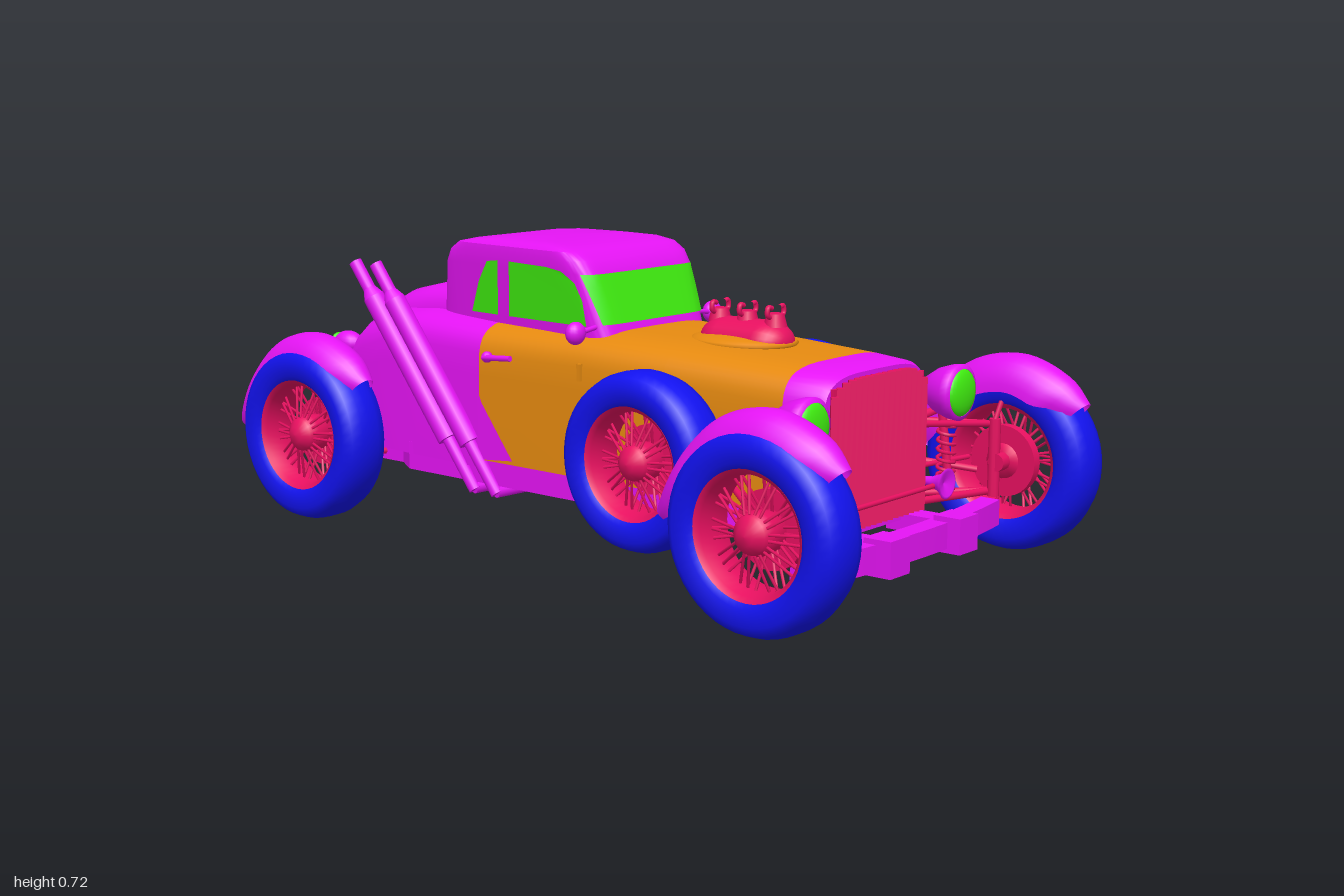
import * as THREE from 'three';
import { toCreasedNormals } from 'three/addons/utils/BufferGeometryUtils.js';

const MAGENTA = 0xe614f5, ORANGE = 0xe68a10, BLUE = 0x1212f0, RED = 0xe81060, GREEN = 0x40ee10;
const V = (x, y, z) => new THREE.Vector3(x, y, z);
const mats = {};
function mat(color, double) {
  const key = color + (double ? 'd' : '');
  return mats[key] ??= new THREE.MeshStandardMaterial({ color, side: double ? THREE.DoubleSide : THREE.FrontSide });
}
function add(parent, name, geo, color, pos = [0, 0, 0], double = false) {
  const m = new THREE.Mesh(geo, mat(color, double));
  m.name = name;
  m.position.set(...pos);
  parent.add(m);
  return m;
}
// straight rod between two points
function rod(parent, name, a, b, r, color = RED, r2 = r, sides = 10) {
  const d = b.clone().sub(a), m = add(parent, name, new THREE.CylinderGeometry(r2, r, d.length(), sides), color);
  m.position.copy(a).addScaledVector(d, 0.5);
  m.quaternion.setFromUnitVectors(V(0, 1, 0), d.normalize());
  return m;
}
const curveTube = (pts, r, n = 20, sides = 8) => new THREE.TubeGeometry(new THREE.CatmullRomCurve3(pts), n, r, sides);
const lathe = (pts, n = 32) => new THREE.LatheGeometry(pts.map(p => new THREE.Vector2(...p)), n);

// skin over equal-length rings; closed rings get end caps
function loft(rings, closed = true) {
  const n = rings[0].length, pos = [], idx = [], last = rings.length - 1;
  rings.flat().forEach(p => pos.push(p.x, p.y, p.z));
  for (let i = 0; i < last; i++) for (let j = 0; j < (closed ? n : n - 1); j++) {
    const a = i * n + j, b = i * n + (j + 1) % n;
    idx.push(a, a + n, b + n, a, b + n, b);
  }
  if (closed) [0, last].forEach(i => {
    const base = pos.length / 3, c = V(0, 0, 0);
    rings[i].forEach(p => { pos.push(p.x, p.y, p.z); c.addScaledVector(p, 1 / n); });
    pos.push(c.x, c.y, c.z);
    for (let j = 0; j < n; j++) {
      const k = (j + 1) % n;
      idx.push(base + n, base + (i ? k : j), base + (i ? j : k));
    }
  });
  const g = new THREE.BufferGeometry();
  g.setAttribute('position', new THREE.Float32BufferAttribute(pos, 3));
  g.setIndex(idx);
  g.computeVertexNormals();
  return closed ? toCreasedNormals(g, 0.6) : g;
}
const pw = (v, e) => Math.sign(v) * Math.abs(v) ** e;
// body section: flat floor, upright sides, softly squared top
function section([z, w, h], floor) {
  const pts = [V(w, floor, z)], s = Math.max(h - 0.13, floor + 0.02), N = 20;
  for (let i = 0; i <= N; i++) {
    const a = Math.PI * i / N;
    pts.push(V(w * pw(Math.cos(a), 0.5), s + (h - s) * pw(Math.max(Math.sin(a), 0), 0.5), z));
  }
  pts.push(V(-w, floor, z));
  return pts;
}
const bodyPart = (keys, floor) => loft(keys.map(k => section(k, floor)));

// cab: half width and front/rear limits by height
const cabW = (z, y) => 0.195 + 0.07 * z + 0.1 * (y - 0.53);
const cabFront = y => 0.085 - 0.348 * (y - 0.545), cabRear = y => -0.49 + 0.174 * (y - 0.545);
const bulge = t => Math.max(0, 1 - Math.abs(t) ** 10) ** 0.1;
function cabRing([y, zf, zr, k]) {
  const out = [], N = 64;
  for (let i = 0; i < N; i++) {
    const a = 2 * Math.PI * i / N, z = (zf + zr) / 2 + (zf - zr) / 2 * pw(Math.sin(a), 0.2);
    out.push(V(cabW(z, y) * k * pw(Math.cos(a), 0.2), y, z));
  }
  return out;
}
function endGlass(dir, y0, y1, w0, w1) {
  const g = new THREE.PlaneGeometry(2, 1, 20, 4), p = g.attributes.position;
  for (let i = 0; i < p.count; i++) {
    const t = p.getY(i) + 0.5, y = y0 + (y1 - y0) * t, x = p.getX(i) * (w0 + (w1 - w0) * t);
    const zf = cabFront(y), zr = cabRear(y), hz = (zf - zr) / 2;
    p.setXYZ(i, x, y, (zf + zr) / 2 + dir * (hz * bulge(x / cabW(dir > 0 ? zf : zr, y)) + 0.004));
  }
  g.computeVertexNormals();
  return g;
}
// flat panel outlined in (z, y) and pushed out to x = f(z, y)
function sidePanel(pts, s, f) {
  const g = new THREE.ShapeGeometry(new THREE.Shape(pts.map(p => new THREE.Vector2(...p)))), p = g.attributes.position;
  for (let i = 0; i < p.count; i++) {
    const z = p.getX(i), y = p.getY(i);
    p.setXYZ(i, s * f(z, y), y, z);
  }
  g.computeVertexNormals();
  return g;
}

// wire wheel, axle along x; s points outward
function wheel(parent, name, x, y, z, r, s) {
  const g = new THREE.Group(), k = r / 0.217;
  g.name = name;
  g.position.set(x, y, z);
  g.scale.set(1, k, k);
  parent.add(g);
  add(g, 'tyre', lathe([[.135, -.05], [.15, -.063], [.185, -.067], [.206, -.052], [.216, -.025], [.217, 0], [.216, .025],
    [.206, .052], [.185, .067], [.15, .063], [.135, .05]], 48).rotateZ(Math.PI / 2), BLUE, [0, 0, 0], true);
  add(g, 'rim', lathe([[.138, -.055], [.126, -.045], [.12, 0], [.126, .045], [.138, .055]], 48).rotateZ(Math.PI / 2), RED, [0, 0, 0], true);
  add(g, 'hub', lathe([[0, -.05], [.042, -.05], [.048, .02], [.04, .045], [.02, .06], [0, .062]], 20).rotateZ(-s * Math.PI / 2), RED, [0, 0, 0], true);
  add(g, 'brakeDrum', new THREE.CylinderGeometry(.085, .085, .025, 28).rotateZ(Math.PI / 2), RED, [-s * .035, 0, 0]);
  for (let i = 0; i < 40; i++) {
    const a = i * Math.PI / 20, d = a + (i % 4 < 2 ? .07 : -.07), h = i % 2 ? .035 : -.015;
    rod(g, 'spoke', V(s * h, .042 * Math.cos(a), .042 * Math.sin(a)), V(s * .01, .122 * Math.cos(d), .122 * Math.sin(d)), .0035, RED, .0035, 5);
  }
}
// crowned mudguard following a curve over the wheel
function fender(parent, x, z) {
  const path = new THREE.CatmullRomCurve3([[.2, .375], [.15, .428], [.03, .475], [-.1, .452], [-.19, .38], [-.245, .3], [-.28, .23]].map(p => V(0, p[1], z + p[0])));
  const rings = [], N = 28;
  for (let i = 0; i <= N; i++) {
    const t = i / N, p = path.getPointAt(t), d = path.getTangentAt(t), n = V(0, -d.z, d.y);
    const w = 0.45 + 0.55 * Math.min(1, Math.sin(Math.PI * t) * 2) ** 0.6, ring = [];
    for (let j = 0; j <= 14; j++) {
      const a = Math.PI * (j / 14 - 0.5);
      ring.push(p.clone().addScaledVector(n, -0.085 * w * (1 - Math.cos(a))).add(V(x - 0.068 * w * Math.sin(a), 0, 0)));
    }
    rings.push(ring);
  }
  add(parent, 'fender', loft(rings, false), MAGENTA, [0, 0, 0], true);
}

export function createModel() {
  const car = new THREE.Group();
  car.name = 'hotRod';
  // body shell
  add(car, 'grilleShell', bodyPart([[.72, .2, .49], [.705, .206, .498], [.62, .214, .505]], .14), MAGENTA);
  add(car, 'hoodAndDoors', bodyPart([[.62, .214, .505], [.3, .236, .522], [.05, .243, .53], [-.27, .243, .53]], .19), ORANGE);
  add(car, 'rearBody', bodyPart([[-.27, .243, .53], [-.5, .236, .538], [-.62, .228, .53], [-.72, .22, .5], [-.785, .21, .45], [-.815, .2, .4], [-.825, .18, .36]], .17), MAGENTA);
  add(car, 'trunkLid', bodyPart([[-.46, .15, .6], [-.55, .155, .59], [-.65, .15, .567], [-.72, .145, .532], [-.78, .14, .47], [-.815, .135, .41], [-.835, .125, .35]], .2), MAGENTA);
  add(car, 'trunkHandle', new THREE.BoxGeometry(.06, .015, .015), MAGENTA, [0, .538, -.72]);
  const plan = new THREE.Shape([[.17, .72], [.2, .55], [.235, .4], [.235, -.53], [.19, -.6], [.19, -.78], [-.19, -.78], [-.19, -.6], [-.235, -.53], [-.235, .4], [-.2, .55], [-.17, .72]].map(p => new THREE.Vector2(...p)));
  add(car, 'floor', new THREE.ExtrudeGeometry(plan, { depth: .07, bevelEnabled: false }).rotateX(Math.PI / 2), MAGENTA, [0, .2, 0]);
  // cab and end glass
  add(car, 'cab', loft([[.5, .1, -.5, 1], [.545, .085, -.49, 1], [.66, .045, -.47, 1], [.69, .025, -.452, 1], [.71, -.005, -.42, .98], [.72, -.05, -.37, .92], [.726, -.12, -.3, .75]].map(cabRing)), MAGENTA);
  add(car, 'windshield', endGlass(1, .545, .66, .182, .202), GREEN, [0, 0, 0], true);
  add(car, 'rearWindow', endGlass(-1, .6, .67, .135, .14), GREEN, [0, 0, 0], true);
  // grille
  add(car, 'grilleBack', new THREE.BoxGeometry(.35, .32, .02), RED, [0, .305, .718]);
  for (let i = -8; i <= 8; i++) {
    const x = i * .0215, top = .48 - .03 * Math.abs(i / 8) ** 6;
    add(car, 'grilleBar', toCreasedNormals(new THREE.CylinderGeometry(.0125, .0125, top - .145, 4), .5), RED, [x, (top + .145) / 2, .728]);
  }
  rod(car, 'grilleRod', V(-.24, .195, .74), V(.24, .195, .74), .006);
  // engine top and carburettors
  add(car, 'hoodBulge', new THREE.SphereGeometry(1, 32, 12).scale(.11, .022, .135), ORANGE, [0, .517, .35]);
  add(car, 'intake', new THREE.CapsuleGeometry(.066, .11, 8, 20).rotateX(Math.PI / 2).scale(1, .75, 1), RED, [0, .52, .36]);
  for (const z of [.28, .36, .44]) {
    add(car, 'carburettor', new THREE.CylinderGeometry(.02, .028, .03, 14), RED, [0, .572, z]);
    for (const s of [1, -1]) add(car, 'carburettorHorn', curveTube([V(s * .01, .575, z), V(s * .03, .585, z), V(s * .028, .602, z), V(s * .014, .6, z)], .006), RED);
  }
  // front bumper
  const bar = new THREE.BoxGeometry(.75, .06, .05, 20), bp = bar.attributes.position;
  for (let i = 0; i < bp.count; i++) bp.setZ(i, bp.getZ(i) - .25 * bp.getX(i) ** 2);
  bar.computeVertexNormals();
  add(car, 'bumper', bar, MAGENTA, [0, .115, .825]);
  // rear axle and cross members
  add(car, 'differential', new THREE.SphereGeometry(.06, 20, 14), RED, [0, .19, -.75]);
  rod(car, 'rearAxle', V(-.35, .22, -.72), V(.35, .22, -.72), .014);
  add(car, 'rearFrame', new THREE.BoxGeometry(.34, .035, .1), RED, [0, .135, -.79]);
  rod(car, 'rearBar', V(-.21, .165, -.835), V(.21, .165, -.835), .012);

  for (const s of [1, -1]) {
    const P = (x, y, z) => V(s * x, y, z);
    wheel(car, 'frontWheel', s * .49, .222, .78, .217, s);
    wheel(car, 'rearWheel', s * .385, .222, -.72, .217, s);
    wheel(car, 'spareWheel', s * .307, .275, .31, .205, s);
    rod(car, 'spareMount', P(.2, .275, .31), P(.29, .275, .31), .03);
    fender(car, s * .478, .78);
    fender(car, s * .375, -.72);
    // side glass and lower quarter panel
    const onCab = (z, y) => {
      const zf = cabFront(y), zr = cabRear(y);
      return cabW(z, y) * bulge((2 * z - zf - zr) / (zf - zr)) + .003;
    };
    add(car, 'doorWindow', sidePanel([[.04, .54], [.03, .6], [.01, .64], [-.03, .665], [-.08, .672], [-.21, .675], [-.225, .54]], s, onCab), GREEN, [0, 0, 0], true);
    add(car, 'quarterWindow', sidePanel([[-.265, .54], [-.25, .675], [-.29, .67], [-.325, .62], [-.36, .54]], s, onCab), GREEN, [0, 0, 0], true);
    add(car, 'quarterPanel', sidePanel([[-.275, .36], [-.26, .33], [-.16, .2], [-.275, .19]], s, () => .2445), MAGENTA, [0, 0, 0], true);
    // door fittings and mirror
    rod(car, 'doorHandle', P(.258, .452, -.15), P(.258, .446, -.24), .007, MAGENTA);
    add(car, 'handleBase', new THREE.SphereGeometry(.014, 12, 8), MAGENTA, [s * .25, .447, -.235]);
    for (const y of [.44, .3]) add(car, 'hinge', new THREE.BoxGeometry(.012, .04, .01), ORANGE, [s * .244, y, .06]);
    rod(car, 'mirrorArm', P(.185, .54, .06), P(.25, .532, .06), .006, MAGENTA);
    add(car, 'mirror', new THREE.SphereGeometry(.027, 16, 12).scale(1, 1, .8), MAGENTA, [s * .252, .532, .055]);
    // twin exhaust stacks
    for (const dz of [0, -.075]) {
      const at = t => P(.235 + .055 * t, .11 + .54 * t, -.22 - .36 * t + dz);
      rod(car, 'exhaustPipe', at(0), at(1), .016, MAGENTA, .016, 16);
      rod(car, 'exhaustMuffler', at(.22), at(.84), .027, MAGENTA, .027, 18);
      rod(car, 'exhaustCone', at(.84), at(.88), .027, MAGENTA, .016, 18);
      rod(car, 'exhaustElbow', at(.01), P(.12, .12, -.2 + dz), .016, MAGENTA);
    }
    // headlight and horn
    add(car, 'headlight', lathe([[0, -.07], [.03, -.06], [.053, -.025], [.064, .01], [.066, .03], [.055, .035]]).rotateX(Math.PI / 2), MAGENTA, [s * .29, .402, .725], true);
    add(car, 'headlightLens', new THREE.SphereGeometry(.056, 24, 12).scale(1, 1, .35), GREEN, [s * .29, .402, .755]);
    rod(car, 'headlightStalk', P(.19, .34, .68), P(.29, .36, .7), .01);
    add(car, 'horn', lathe([[.008, -.08], [.012, -.03], [.022, -.005], [.036, .01], [.03, .012], [0, 0]], 20).rotateX(Math.PI / 2), MAGENTA, [s * .225, .2, .755], true);
    // bumper blocks and brackets
    add(car, 'bumperBlock', new THREE.BoxGeometry(.075, .082, .07), MAGENTA, [s * .137, .116, .845]);
    add(car, 'bumperBracket', new THREE.BoxGeometry(.06, .04, .14), MAGENTA, [s * .137, .125, .75]);
    // front suspension
    for (const z of [.58, .7]) {
      rod(car, 'upperArm', P(.2, .335, z), P(.42, .312, .76), .008);
      rod(car, 'lowerArm', P(.18, .155, z), P(.43, .15, .76), .009);
    }
    rod(car, 'radiusRod', P(.22, .25, .47), P(.41, .2, .73), .008);
    rod(car, 'tieRod', P(.18, .225, .66), P(.42, .225, .7), .006);
    rod(car, 'knuckle', P(.42, .14, .77), P(.42, .325, .77), .014);
    rod(car, 'stub', P(.41, .222, .78), P(.47, .222, .78), .022);
    rod(car, 'fenderStay', P(.42, .32, .77), P(.47, .46, .79), .006);
    rod(car, 'damper', P(.31, .15, .72), P(.3, .35, .7), .01);
    const coil = Array.from({ length: 81 }, (_, i) => P(.305 + .02 * Math.cos(i * .6), .165 + i * .002, .71 + .02 * Math.sin(i * .6)));
    add(car, 'spring', curveTube(coil, .0045, 140, 5), RED);
    // rear suspension and lamps
    for (const [y, z] of [[.3, -.66], [.3, -.78], [.15, -.66], [.15, -.78]]) rod(car, 'rearArm', P(.16, y, z), P(.34, y > .2 ? .28 : .16, -.72), .009);
    rod(car, 'rearDamper', P(.25, .15, -.77), P(.22, .36, -.77), .014);
    add(car, 'rearCan', new THREE.CylinderGeometry(.024, .024, .05, 16).rotateX(Math.PI / 2), RED, [s * .09, .165, -.84]);
    add(car, 'tailLampHousing', new THREE.SphereGeometry(.032, 16, 12).scale(1, 1, 1.4), MAGENTA, [s * .19, .42, -.8]);
    add(car, 'tailLamp', new THREE.SphereGeometry(.024, 16, 10).scale(1, 1, .5), GREEN, [s * .19, .42, -.84]);
  }
  return car;
}
